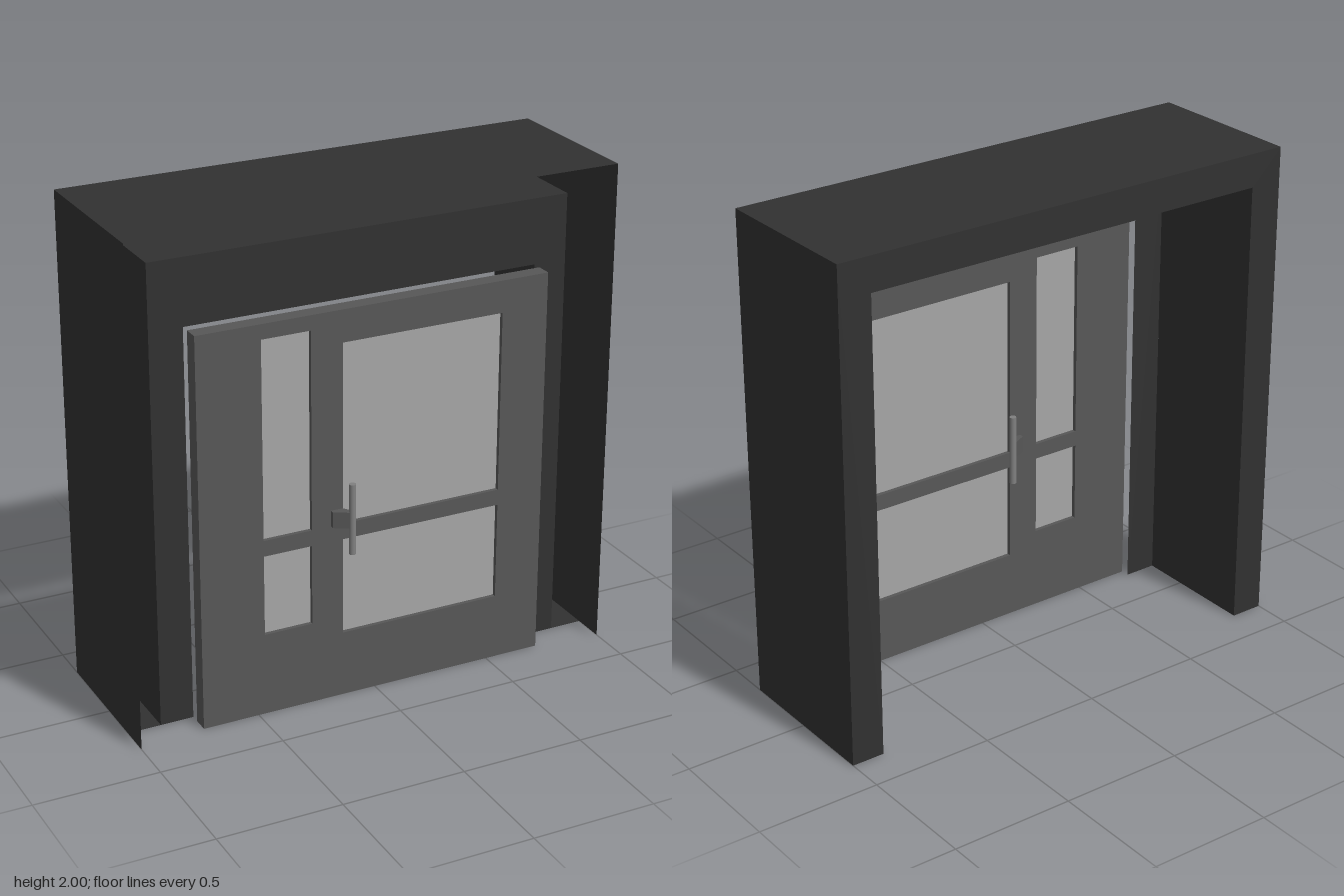
import * as THREE from 'three';

const frameMat = new THREE.MeshStandardMaterial({ color: 0x313131, side: THREE.DoubleSide });
frameMat.name = 'dark frame';
const doorMat = new THREE.MeshStandardMaterial({ color: 0x575757 });
doorMat.name = 'grey door';
const glassMat = new THREE.MeshStandardMaterial({ color: 0xa6a6a6 });
glassMat.name = 'pale glass';
const handleMat = new THREE.MeshStandardMaterial({ color: 0x808080 });
handleMat.name = 'handle metal';

const BACK = -0.343, FRONT = 0.32, WALL = 0.186;
const DOOR_BACK = 0.222, DOOR_FRONT = 0.286, DOOR_MID = (DOOR_BACK + DOOR_FRONT) / 2;

const toPoints = (list) => list.map(([x, y]) => new THREE.Vector2(x, y));
const rectangle = (x0, x1, y0, y1) => toPoints([[x0, y0], [x1, y0], [x1, y1], [x0, y1]]);

function add(parent, name, geometry, material, x = 0, y = 0, z = 0) {
  const mesh = new THREE.Mesh(geometry, material);
  mesh.name = name;
  mesh.position.set(x, y, z);
  parent.add(mesh);
  return mesh;
}

// Upside-down U outline: half width and height of the outside and the opening
function archShape(w, h, iw, ih) {
  return new THREE.Shape(toPoints([
    [-w, 0], [-w, h], [w, h], [w, 0], [iw, 0], [iw, ih], [-iw, ih], [-iw, 0],
  ]));
}

// Open tunnel of two side sheets and a ceiling sheet
function tunnel(parent, name, w, h, z0, z1) {
  const depth = z1 - z0, mid = (z0 + z1) / 2;
  for (const s of [-1, 1]) {
    add(parent, name + 'Side', new THREE.PlaneGeometry(depth, h).rotateY(s * Math.PI / 2), frameMat, s * w, h / 2, mid);
  }
  add(parent, name + 'Top', new THREE.PlaneGeometry(2 * w, depth).rotateX(-Math.PI / 2), frameMat, 0, h, mid);
}

function buildFrame() {
  const frame = new THREE.Group();
  frame.name = 'doorFrame';
  tunnel(frame, 'outerShell', 1, 2, BACK, FRONT);
  tunnel(frame, 'innerLiner', 0.865, 1.865, BACK, WALL);
  // Back rim, and the recessed wall around the doorway
  add(frame, 'backRim', new THREE.ShapeGeometry(archShape(1, 2, 0.865, 1.865)).rotateY(Math.PI), frameMat, 0, 0, BACK);
  add(frame, 'doorwayWall', new THREE.ShapeGeometry(archShape(0.865, 1.865, 0.73, 1.6)), frameMat, 0, 0, WALL);
  // Undersides of the two legs
  for (const s of [-1, 1]) {
    add(frame, 'legBottom', new THREE.PlaneGeometry(0.135, WALL - BACK).rotateX(Math.PI / 2),
      frameMat, s * 0.9325, 0, (WALL + BACK) / 2);
  }
  return frame;
}

// Pull handle standing off the door towards side s (+1 front, -1 back)
function buildHandle(s) {
  const handle = new THREE.Group();
  handle.name = s > 0 ? 'frontHandle' : 'backHandle';
  const out = 0.0765;
  add(handle, 'handleBar', new THREE.CylinderGeometry(0.0135, 0.0135, 0.29, 20), handleMat, -0.1215, 0.77, DOOR_MID + s * out);
  // Slanted bracket, drawn in plan and extruded upwards
  const half = (DOOR_FRONT - DOOR_BACK) / 2;
  const plan = toPoints([
    [-0.19, -s * half], [-0.14, -s * half], [-0.116, -s * (out - 0.008)],
    [-0.125, -s * (out + 0.008)], [-0.19, -s * (half + 0.018)],
  ]);
  const geometry = new THREE.ExtrudeGeometry(new THREE.Shape(plan), { depth: 0.065, bevelEnabled: false });
  add(handle, 'handleBracket', geometry.rotateX(-Math.PI / 2), doorMat, 0, 0.735, DOOR_MID);
  return handle;
}

function buildDoor() {
  const door = new THREE.Group();
  door.name = 'door';
  const windows = [
    [-0.47, -0.27, 0.735, 1.54],
    [-0.47, -0.27, 0.34, 0.67],
    [-0.14, 0.535, 0.735, 1.47],
    [-0.14, 0.535, 0.27, 0.67],
  ];
  // Leaf with four cut-outs, each holding a slightly recessed pane
  const leaf = new THREE.Shape(rectangle(-0.73, 0.73, 0, 1.6));
  for (const [x0, x1, y0, y1] of windows) {
    leaf.holes.push(new THREE.Path(rectangle(x0, x1, y0, y1)));
    add(door, 'windowPane', new THREE.BoxGeometry(x1 - x0, y1 - y0, 0.03), glassMat, (x0 + x1) / 2, (y0 + y1) / 2, DOOR_MID);
  }
  const geometry = new THREE.ExtrudeGeometry(leaf, { depth: DOOR_FRONT - DOOR_BACK, bevelEnabled: false });
  add(door, 'doorLeaf', geometry, doorMat, 0, 0, DOOR_BACK);
  door.add(buildHandle(1), buildHandle(-1));
  return door;
}

export function createModel() {
  const model = new THREE.Group();
  model.name = 'framedDoor';
  model.add(buildFrame(), buildDoor());
  return model;
}
